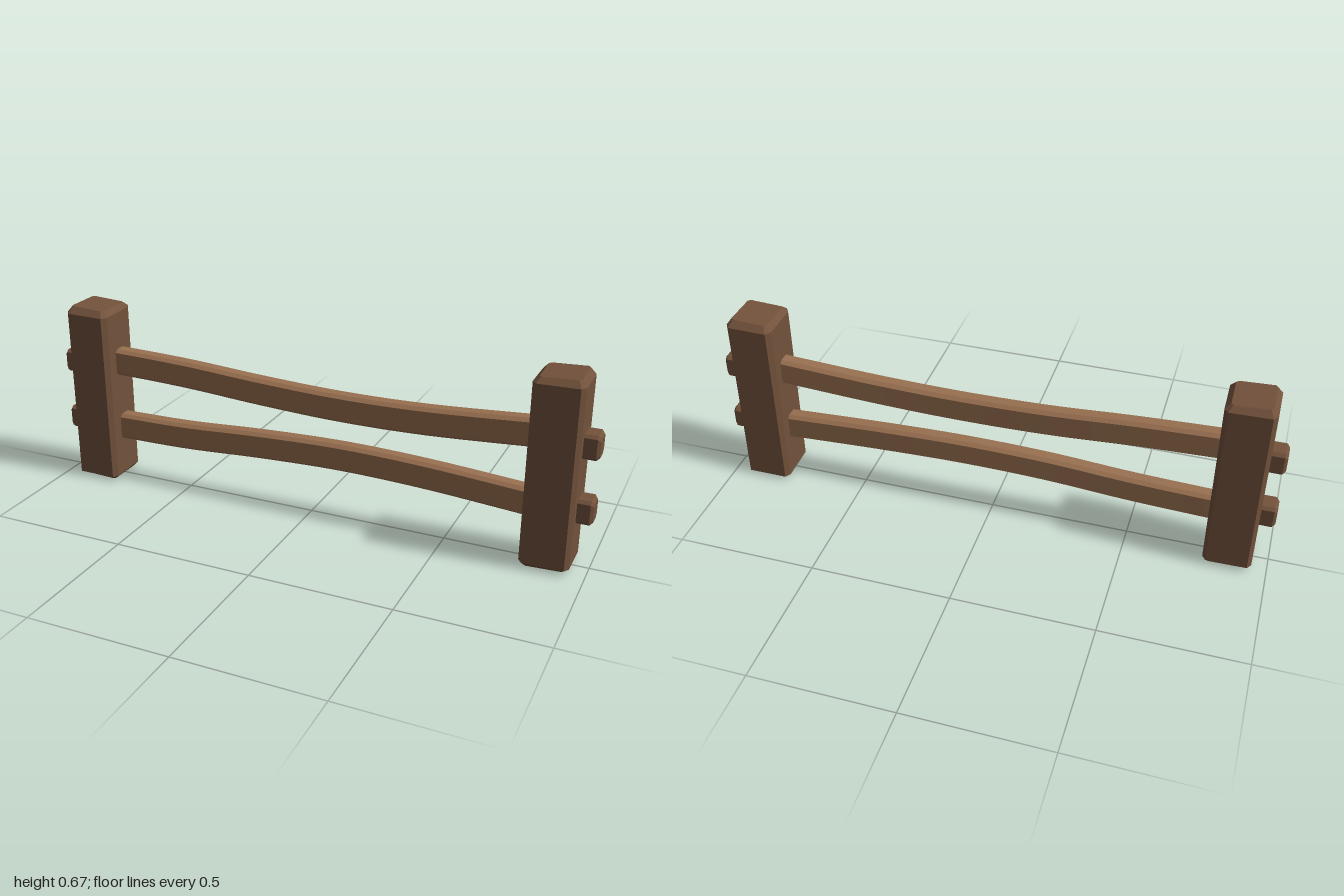
import * as THREE from 'three';
import { toCreasedNormals } from 'three/addons/utils/BufferGeometryUtils.js';

// Chamfered rectangle: half sizes a, b with corner cuts ca, cb (counter-clockwise)
function octagon(a, b, ca, cb) {
  return [
    [a, -b + cb], [a, b - cb], [a - ca, b], [-a + ca, b],
    [-a, b - cb], [-a, -b + cb], [-a + ca, -b], [a - ca, -b],
  ];
}

// Skin a list of equal-sized rings of Vector3 and close both ends
function loft(rings) {
  const n = rings[0].length, pos = [], index = [];
  rings.forEach((ring) => ring.forEach((p) => pos.push(p.x, p.y, p.z)));
  for (let i = 0; i < rings.length - 1; i++) {
    for (let j = 0; j < n; j++) {
      const a = i * n + j, b = i * n + (j + 1) % n;
      index.push(a, b, b + n, a, b + n, a + n);
    }
  }
  const last = (rings.length - 1) * n;
  for (let j = 1; j < n - 1; j++) {
    index.push(0, j + 1, j, last, last + j, last + j + 1);
  }
  const g = new THREE.BufferGeometry();
  g.setAttribute('position', new THREE.Float32BufferAttribute(pos, 3));
  g.setIndex(index);
  return toCreasedNormals(g, 0.3);
}

// Upright post with bevelled, slightly uneven ends
function postGeometry() {
  const ring = (a, b, ca, cb, height) => octagon(a, b, ca, cb)
    .map(([x, w]) => new THREE.Vector3(x, height(x, -w), -w));
  return loft([
    ring(0.068, 0.07, 0.008, 0.01, (x) => 0.006 - 0.04 * x),
    ring(0.084, 0.088, 0.013, 0.019, (x, z) => 0.02 - 0.03 * z),
    ring(0.084, 0.09, 0.014, 0.02, (x, z) => 0.652 - 0.02 * x - 0.02 * z),
    ring(0.066, 0.07, 0.008, 0.01, (x) => 0.673 - 0.05 * x),
  ]);
}

// Tenon end, running outward along +x
function pegGeometry() {
  const ring = (x, inset) => octagon(0.043 - inset, 0.04 - inset, 0.01, 0.011)
    .map(([y, z]) => new THREE.Vector3(x, y, z));
  return loft([ring(-0.04, 0), ring(0.046, 0), ring(0.056, 0.009)]);
}

// Bowed rail following a smooth curve
function railGeometry(heights, sway) {
  const xs = [-0.84, -0.5, -0.2, 0.1, 0.4, 0.84];
  const curve = new THREE.CatmullRomCurve3(xs.map((x, i) =>
    new THREE.Vector3(x, heights[i], -0.002 + sway * Math.sin(x * 5))));
  const section = octagon(0.05, 0.031, 0.011, 0.013);
  return loft(curve.getPoints(32).map((c) => section.map(([y, z]) =>
    new THREE.Vector3(c.x, c.y + y, c.z + z))));
}

export function createModel() {
  const postWood = new THREE.MeshStandardMaterial({ color: 0x73523c });
  postWood.name = 'dark post wood';
  const railWood = new THREE.MeshStandardMaterial({ color: 0x997050 });
  railWood.name = 'light rail wood';

  const model = new THREE.Group();
  model.name = 'fence';
  const add = (name, geometry, material) => {
    const mesh = new THREE.Mesh(geometry, material);
    mesh.name = name;
    model.add(mesh);
    return mesh;
  };

  // Posts and pegs, the right side turned half way round
  const post = postGeometry(), peg = pegGeometry();
  for (const [side, s] of [['right', -1], ['left', 1]]) {
    const turn = s < 0 ? 0 : Math.PI;
    add(side + 'Post', post, postWood).position.x = s * 0.863;
    model.children.at(-1).rotation.y = turn;
    for (const [level, y] of [['Upper', 0.445], ['Lower', 0.217]]) {
      const mesh = add(side + level + 'Peg', peg, postWood);
      mesh.position.set(s * 0.944, y, 0);
      mesh.rotation.y = Math.PI - turn;
    }
  }

  // Rails bowing towards each other
  add('upperRail', railGeometry([0.466, 0.455, 0.437, 0.428, 0.433, 0.46], 0.003), railWood);
  add('lowerRail', railGeometry([0.204, 0.213, 0.232, 0.241, 0.234, 0.208], -0.003), railWood);
  return model;
}
